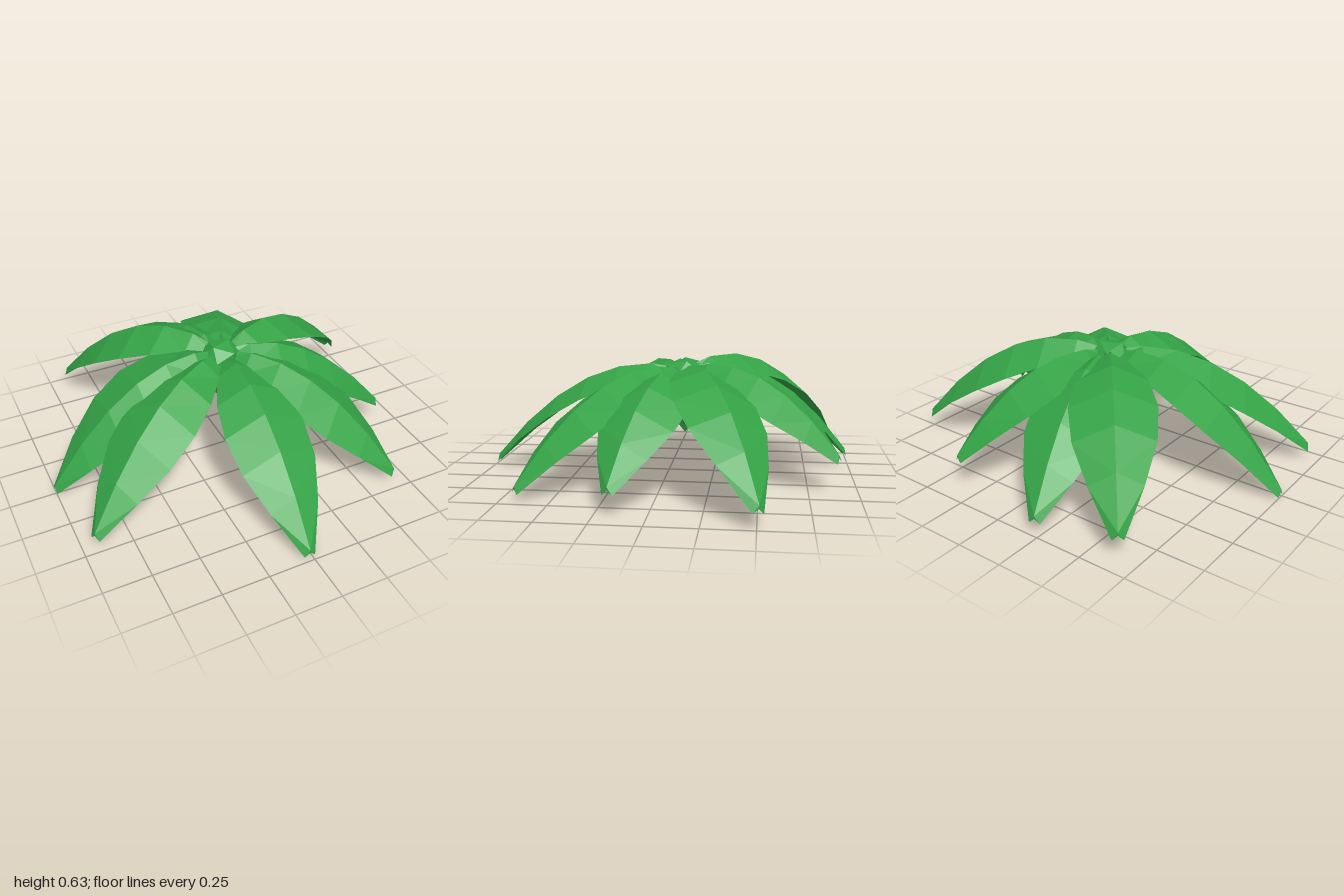
import * as THREE from 'three';

const leafGreen = new THREE.MeshStandardMaterial({ color: 0x34a346, flatShading: true });
leafGreen.name = 'leaf green';
const nutBrown = new THREE.MeshStandardMaterial({ color: 0x855a3c, flatShading: true });
nutBrown.name = 'nut brown';

const CENTRE = new THREE.Vector3(0.02, 0, -0.08);
const BASE_Y = 0.572;

// Half widths of a frond from its root to its tip
const HALF_WIDTHS = [0.03, 0.11, 0.185, 0.217, 0.2, 0.13, 0.028];

// Frond tips: x, z, ridge height at the tip, upward bulge of the arch, roll about the ridge
const FRONDS = [
  [-0.02, 0.985, 0.055, 0.197, 0],
  [0.68, 0.68, 0.07, 0.19, 0],
  [0.89, 0.18, 0.14, 0.175, 0],
  [0.99, -0.51, 0.11, 0.215, -0.13],
  [0.36, -0.9, 0.19, 0.172, 0.13],
  [-0.22, -0.98, 0.095, 0.195, 0],
  [-0.65, -0.91, 0.14, 0.228, 0],
  [-1.0, -0.01, 0.042, 0.22, -0.18],
  [-0.93, 0.45, 0.08, 0.2, 0],
];

// Thin folded blade along +z: four-point sections (right, ridge, left, underside)
function frondGeometry(length, tipY, bulge, roll) {
  const positions = [];
  const index = [];
  const last = HALF_WIDTHS.length - 1;
  const c = Math.cos(roll);
  const s = Math.sin(roll);
  HALF_WIDTHS.forEach((w, i) => {
    const t = i / last;
    const ridgeY = BASE_Y + (tipY - BASE_Y) * t + bulge * 4 * t * (1 - t);
    const drop = 0.031 + 0.29 * w;
    for (const [x, y] of [[w, -drop], [0, 0], [-w, -drop], [0, -0.015]]) {
      positions.push(x * c - y * s, ridgeY + x * s + y * c, length * t);
    }
  });
  // Diagonals run alike above and below so that the thin blade never crosses itself
  for (let i = 0; i < last; i++) {
    for (let j = 0; j < 4; j++) {
      const a = i * 4 + j;
      const b = i * 4 + ((j + 1) % 4);
      if (j % 2 === 0) index.push(a, b, b + 4, a, b + 4, a + 4);
      else index.push(a, b, a + 4, b, b + 4, a + 4);
    }
  }
  // End caps
  const e = last * 4;
  index.push(e, e + 1, e + 3, e + 1, e + 2, e + 3);
  index.push(0, 3, 1, 1, 3, 2);

  const geometry = new THREE.BufferGeometry();
  geometry.setAttribute('position', new THREE.Float32BufferAttribute(positions, 3));
  geometry.setIndex(index);
  geometry.computeVertexNormals();
  return geometry;
}

export function createModel() {
  const model = new THREE.Group();
  model.name = 'palmCrown';

  // Ring of drooping fronds
  const fronds = new THREE.Group();
  fronds.name = 'fronds';
  for (const [x, z, tipY, bulge, roll] of FRONDS) {
    const dx = x - CENTRE.x;
    const dz = z - CENTRE.z;
    const frond = new THREE.Mesh(frondGeometry(Math.hypot(dx, dz), tipY, bulge, roll), leafGreen);
    frond.name = 'frond';
    frond.position.copy(CENTRE);
    frond.rotation.y = Math.atan2(dx, dz);
    fronds.add(frond);
  }
  model.add(fronds);

  // Faceted bud where the fronds meet
  const bud = new THREE.Mesh(new THREE.IcosahedronGeometry(0.115, 0), leafGreen);
  bud.name = 'bud';
  bud.position.set(CENTRE.x - 0.01, 0.553, CENTRE.z);
  bud.scale.y = 0.65;
  bud.rotation.y = 0.4;
  model.add(bud);

  // Four hanging nuts, their wide ends leaning inward
  const nuts = new THREE.Group();
  nuts.name = 'nuts';
  const nutGeometry = new THREE.CylinderGeometry(0.042, 0.058, 0.125, 6);
  for (let i = 0; i < 4; i++) {
    const pivot = new THREE.Group();
    pivot.name = 'nutPivot';
    pivot.position.copy(CENTRE);
    pivot.rotation.y = Math.PI / 4 + 0.28 + (i * Math.PI) / 2;
    const nut = new THREE.Mesh(nutGeometry, nutBrown);
    nut.name = 'nut';
    nut.position.set(0, 0.443, 0.1);
    nut.rotation.x = 0.25;
    pivot.add(nut);
    nuts.add(pivot);
  }
  model.add(nuts);

  return model;
}
